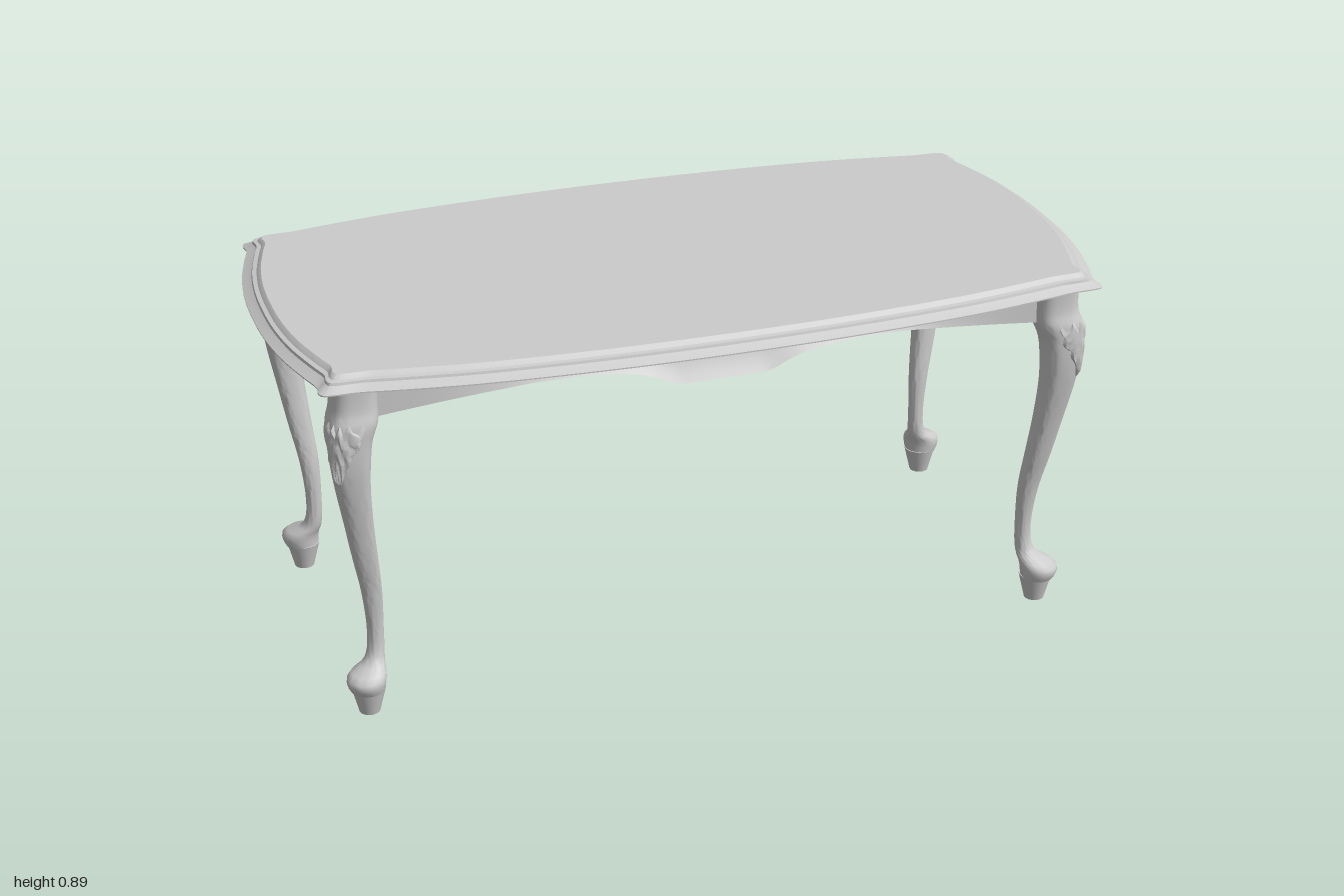
import * as THREE from 'three';
import { toCreasedNormals } from 'three/addons/utils/BufferGeometryUtils.js';
import { ParametricGeometry } from 'three/addons/geometries/ParametricGeometry.js';

const material = new THREE.MeshStandardMaterial({ color: 0xcccccc, side: THREE.DoubleSide });

// Linear lookup of a row table by its first column
function lookup(rows, key) {
  let i = 0;
  while (i < rows.length - 2 && key > rows[i + 1][0]) i++;
  const a = rows[i], b = rows[i + 1];
  const t = THREE.MathUtils.clamp((key - a[0]) / (b[0] - a[0]), 0, 1);
  return a.map((n, k) => n + (b[k] - n) * t);
}

function surface(name, fn, nu, nv, crease = 0.6) {
  const mesh = new THREE.Mesh(toCreasedNormals(new ParametricGeometry(fn, nu, nv), crease), material);
  mesh.name = name;
  return mesh;
}

// Table top: serpentine outline stepped inward through a moulded edge
function createTop() {
  const quarter = [[0, 0.527], [0.3, 0.52], [0.6, 0.498], [0.78, 0.471], [0.86, 0.457], [0.915, 0.455],
    [0.935, 0.45], [0.941, 0.435], [0.938, 0.405], [0.953, 0.35], [0.98, 0.24], [0.996, 0.12], [1, 0]];
  const n = quarter.length - 1;
  const points = [];
  for (let q = 0; q < 4; q++) {
    for (let k = 0; k < n; k++) {
      const [x, z] = quarter[q % 2 ? n - k : k];
      points.push(new THREE.Vector3(q < 2 ? x : -x, 0, q === 1 || q === 2 ? -z : z));
    }
  }
  const outline = new THREE.CatmullRomCurve3(points, true);
  const edge = [[1, 0.862], [0, 0.862], [0, 0.865], [0.014, 0.872], [0.022, 0.877], [0.024, 0.883],
    [0.034, 0.885], [0.039, 0.891], [0.044, 0.895], [1, 0.895]].map((row, i) => [i, ...row]);
  const p = new THREE.Vector3();
  return surface('tableTop', (u, v, target) => {
    const [, inset, y] = lookup(edge, v * (edge.length - 1));
    outline.getPoint(u % 1, p);
    target.set(p.x * (1 - inset), y, p.z * Math.max(0, 1 - inset / 0.527));
  }, points.length * 4, edge.length - 1, 0.3);
}

// Cabriole leg profile: height, inner and outer extent, equal along x and z
const legProfile = new THREE.CatmullRomCurve3([
  [0.06, 0.331, 0.412], [0.075, 0.329, 0.419], [0.092, 0.327, 0.42], [0.107, 0.325, 0.404], [0.12, 0.324, 0.376],
  [0.145, 0.322, 0.364], [0.2, 0.321, 0.36], [0.3, 0.322, 0.369], [0.4, 0.331, 0.388], [0.5, 0.34, 0.406],
  [0.6, 0.345, 0.424], [0.66, 0.343, 0.432], [0.72, 0.336, 0.435], [0.765, 0.32, 0.434], [0.79, 0.318, 0.426],
  [0.82, 0.318, 0.423], [0.862, 0.318, 0.423],
].map((r) => new THREE.Vector3(...r))).getPoints(160).map((p) => p.toArray());

function legPoint(y, angle, raise, target) {
  const [, inner, outer] = lookup(legProfile, y);
  const power = 2 / (2 + THREE.MathUtils.smoothstep(y, 0.1, 0.4) * 0.9);
  const bend = (n) => Math.sign(n) * Math.abs(n) ** power;
  const c = (inner + outer) / 2, r = (outer - inner) / 2 + raise;
  target.set(c + r * bend(Math.sin(angle)), y, c + r * bend(Math.cos(angle)));
}

function createLeg() {
  const leg = new THREE.Group();
  leg.name = 'leg';
  leg.add(surface('legShaft', (u, v, target) =>
    legPoint(0.06 + 0.802 * v, u * Math.PI * 2, 0, target), 32, 72, 0.9));

  // Tapered pad under the toe
  const pad = new THREE.Mesh(new THREE.CylinderGeometry(0.041, 0.0245, 0.066, 20), material);
  pad.name = 'footPad';
  pad.position.set(0.369, 0.033, 0.369);
  leg.add(pad);

  // Carved leaf wrapped around the outer knee, with serrated edges and ribs
  const tri = (n) => Math.abs((n % 1) * 2 - 1);
  leg.add(surface('kneeLeaf', (u, v, target) => {
    const s = u * 2 - 1;
    const width = 1.08 * Math.sin(Math.min(1, v * 1.15 + 0.05) * Math.PI / 2) * (1 - 0.14 * tri(v * 4));
    const y = 0.62 + v * (0.16 - 0.025 * tri(Math.abs(s) * 2.5) * v);
    const rim = Math.min(1, (1 - Math.abs(s)) * 8, (1 - v) * 10, v * 10);
    const rib = 0.0015 * Math.cos((Math.abs(s) * 2 + v * 3) * Math.PI * 2);
    legPoint(y, Math.PI / 4 + s * width, -0.002 + rim * (0.006 + rib), target);
  }, 32, 28, 0.5));
  return leg;
}

// Shaped apron: scalloped lower edge, face sweeping outward at the middle
function createApron(name, halfLength, distance, scallop, swell) {
  const steps = 8, thick = 0.028;
  const section = [];
  for (let i = 0; i <= steps; i++) section.push([1 - i / steps, 0]);
  for (let i = 0; i <= steps; i++) section.push([i / steps, -thick]);
  section.push(section[0]);
  const rows = section.map((s, i) => [i, ...s]);
  return surface(name, (u, v, target) => {
    const x = (u * 2 - 1) * halfLength;
    const [, drop, back] = lookup(rows, v * (rows.length - 1));
    const bottom = lookup(scallop, Math.abs(x))[1];
    const bulge = swell * Math.cos(x / halfLength * Math.PI / 2) ** 2 * drop * drop;
    target.set(x, 0.863 - drop * (0.863 - bottom), distance + bulge + back);
  }, 96, rows.length - 1, 0.7);
}

export function createModel() {
  const table = new THREE.Group();
  table.name = 'table';
  table.add(createTop());

  // Each leg is the same part turned to face its corner
  for (let k = 0; k < 4; k++) {
    const leg = createLeg();
    leg.rotation.y = k * Math.PI / 2;
    leg.position.x = k < 2 ? 0.482 : -0.482;
    table.add(leg);
  }

  const longEdge = [[0, 0.758], [0.107, 0.758], [0.13, 0.766], [0.155, 0.778], [0.19, 0.791], [0.24, 0.8],
    [0.34, 0.806], [0.45, 0.802], [0.6, 0.787], [0.8, 0.766], [0.84, 0.765]];
  const shortEdge = [[0, 0.757], [0.107, 0.757], [0.13, 0.775], [0.148, 0.786], [0.168, 0.794], [0.215, 0.799],
    [0.25, 0.796], [0.275, 0.789], [0.3, 0.776], [0.32, 0.764], [0.36, 0.76]];
  for (let k = 0; k < 4; k++) {
    const apron = k % 2
      ? createApron('sideApron', 0.35, 0.869, shortEdge, 0.036)
      : createApron('longApron', 0.83, 0.387, longEdge, 0.04);
    apron.rotation.y = k * Math.PI / 2;
    table.add(apron);
  }
  return table;
}
